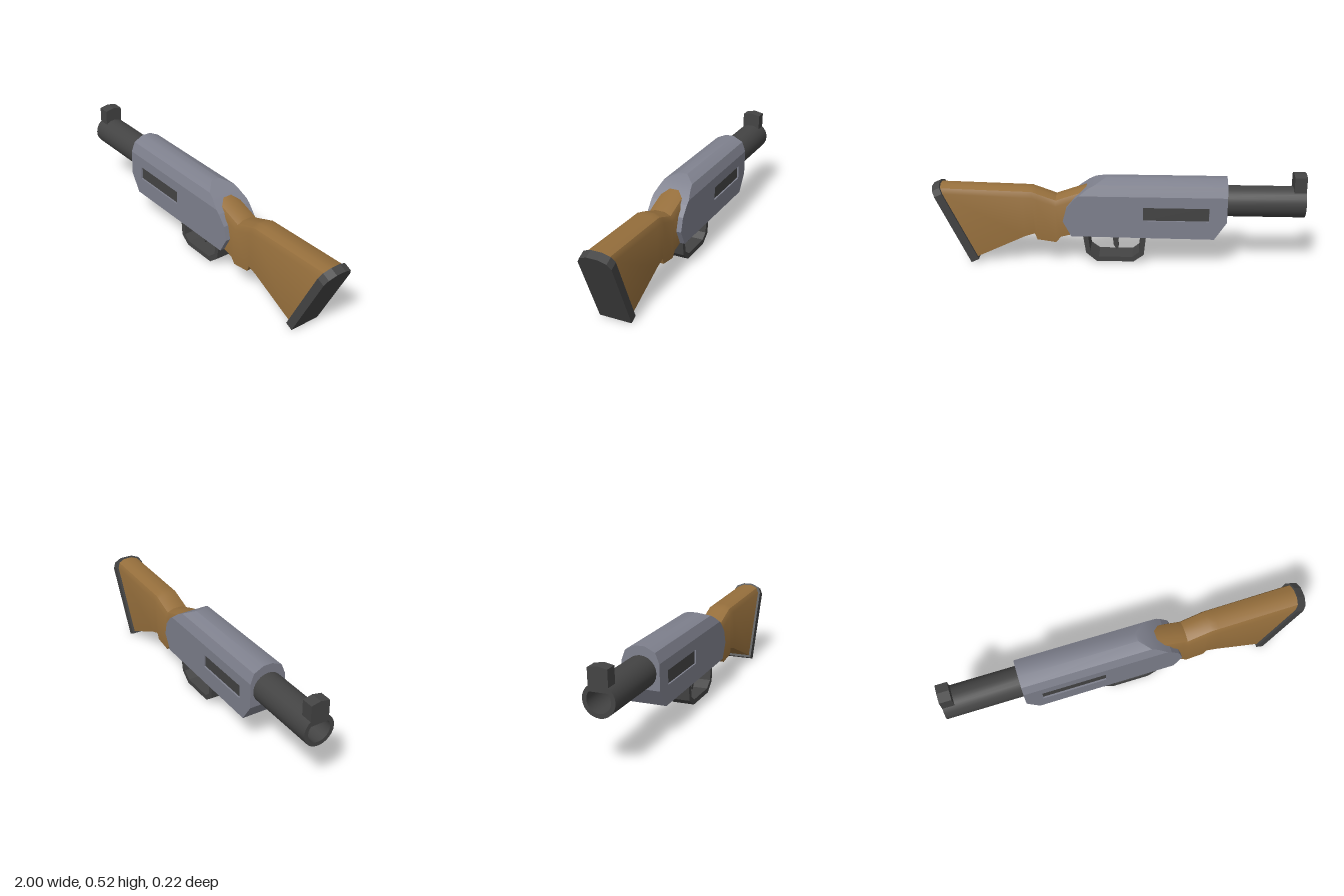
import * as THREE from 'three';
import { toCreasedNormals } from 'three/addons/utils/BufferGeometryUtils.js';
import { ConvexGeometry } from 'three/addons/geometries/ConvexGeometry.js';

const material = (color) => new THREE.MeshStandardMaterial({ color });
const steel = material(0x7f818e);
const dark = material(0x444444);
const wood = material(0x966f3c);

const outline = (pts) => pts.map(([x, y]) => new THREE.Vector2(x, y));

function part(parent, name, geometry, mat) {
  const mesh = new THREE.Mesh(geometry, mat);
  mesh.name = name;
  parent.add(mesh);
  return mesh;
}

// Side profile in x-y, extruded symmetrically across z
function slab(pts, halfWidth, hole) {
  const shape = new THREE.Shape(outline(pts));
  if (hole) shape.holes.push(new THREE.Path(outline(hole)));
  return new THREE.ExtrudeGeometry(shape, { depth: halfWidth * 2, bevelEnabled: false })
    .translate(0, 0, -halfWidth);
}

// Half of an arched section, [z, drop below the top], mirrored into a full one
const mirrorArch = (half) => [...half.map(([z, d]) => [-z, d]), ...[...half].reverse()];

// Stock body: arched sections lofted between top and bottom outline points
function stockGeometry() {
  const arch = mirrorArch([[0.074, 0.045], [0.06, 0.015], [0.025, 0]]);
  const stations = [ // top x, top y, bottom x, bottom y
    [0.1, 0.46, 0.1, 0.2], [0.245, 0.413, 0.245, 0.18], [0.305, 0.392, 0.305, 0.164],
    [0.33, 0.383, 0.33, 0.132], [0.432, 0.42, 0.432, 0.147], [0.46, 0.43, 0.446, 0.182],
    [0.5, 0.431, 0.5, 0.164], [0.955, 0.442, 0.775, 0.035],
  ];
  const pos = [], index = [], n = arch.length + 2;
  for (const [tx, ty, bx, by] of stations) {
    const len = Math.hypot(bx - tx, by - ty);
    for (const [z, d] of [[-0.074, len], ...arch, [0.074, len]]) {
      pos.push(tx + (bx - tx) * d / len, ty + (by - ty) * d / len, z);
    }
  }
  const last = (stations.length - 1) * n;
  for (let s = 0; s < last; s += n) {
    for (let i = 0; i < n; i++) {
      const a = s + i, b = s + (i + 1) % n;
      index.push(a, b, b + n, a, b + n, a + n);
    }
  }
  for (let i = 1; i < n - 1; i++) index.push(0, i + 1, i, last, last + i, last + i + 1);
  const g = new THREE.BufferGeometry();
  g.setAttribute('position', new THREE.Float32BufferAttribute(pos, 3));
  g.setIndex(index);
  return toCreasedNormals(g, 0.55);
}

export function createModel() {
  const root = new THREE.Group();
  root.name = 'longGun';
  const gun = new THREE.Group();
  gun.name = 'body';
  gun.rotation.set(-0.02, -0.013, 0);
  gun.position.z = 0.0105;
  root.add(gun);

  // Receiver: slotted lower body and arched cover with a sloping rear
  const receiver = new THREE.Group();
  receiver.name = 'receiver';
  gun.add(receiver);
  const front = -0.585, w = 0.101;
  part(receiver, 'receiverBody', slab([
    [front, 0.41], [front, 0.272], [-0.52, 0.174], [0.245, 0.18], [0.29, 0.265],
    [0.27, 0.34], [0.225, 0.393], [0.203, 0.41],
  ], w, [[-0.49, 0.275], [-0.49, 0.35], [-0.14, 0.35], [-0.14, 0.275]]), steel);
  const cover = [];
  for (const [z, y, rear] of [[w, 0.41, 0.203], [0.087, 0.447, 0.155], [0.08, 0.465, 0.12], [0.025, 0.492, 0.062]]) {
    for (const side of [-1, 1]) {
      cover.push(new THREE.Vector3(front, y, z * side), new THREE.Vector3(rear, y, z * side));
    }
  }
  part(receiver, 'receiverCover', toCreasedNormals(new ConvexGeometry(cover), 0.5), steel);
  part(receiver, 'slotPanels', new THREE.BoxGeometry(0.36, 0.085, 0.184).translate(-0.315, 0.3125, 0), dark);

  // Hollow barrel
  const tube = new THREE.LatheGeometry(outline([
    [0.084, 0.5], [0.084, 1], [0.062, 1], [0.062, 0.62], [0, 0.62],
  ]), 24);
  part(gun, 'barrel', toCreasedNormals(tube, 0.6).rotateZ(Math.PI / 2).translate(0, 0.361, 0), dark);

  // Front sight with a ridged top
  const sight = new THREE.Shape(outline([
    [-0.051, 0.4], [0.051, 0.4], [0.051, 0.512], [0, 0.522], [-0.051, 0.512],
  ]));
  part(gun, 'frontSight', new THREE.ExtrudeGeometry(sight, { depth: 0.065, bevelEnabled: false })
    .rotateY(Math.PI / 2).translate(-1, 0, 0), dark);

  // Trigger and guard
  part(gun, 'triggerGuard', slab([
    [-0.158, 0.185], [-0.145, 0.06], [-0.09, 0.019], [0.112, 0.019], [0.17, 0.068], [0.188, 0.185],
    [0.16, 0.185], [0.147, 0.08], [0.1, 0.046], [-0.083, 0.046], [-0.118, 0.075], [-0.13, 0.185],
  ], 0.062), dark);
  part(gun, 'trigger', slab([
    [-0.015, 0.185], [-0.004, 0.12], [-0.006, 0.085], [0.004, 0.068], [0.022, 0.1], [0.028, 0.185],
  ], 0.016), dark);

  // Wooden stock
  part(gun, 'stock', stockGeometry(), wood);

  // Butt pad: arched plate lying along the slanted stock end
  const length = 0.468;
  const padArch = mirrorArch([[0.087, 0.05], [0.07, 0.018], [0.028, 0]]);
  const padShape = new THREE.Shape(outline([
    [-0.087, 0], ...padArch.map(([z, d]) => [z, length - d]), [0.087, 0],
  ]));
  const pad = new THREE.ExtrudeGeometry(padShape, { depth: 0.045, bevelEnabled: false });
  const up = new THREE.Vector3(0.2, 0.423, 0).normalize();
  const across = new THREE.Vector3(0, 0, 1);
  pad.applyMatrix4(new THREE.Matrix4()
    .makeBasis(across, up, across.clone().cross(up))
    .setPosition(0.8, 0.008, 0));
  part(gun, 'buttPad', pad, dark);

  return root;
}
